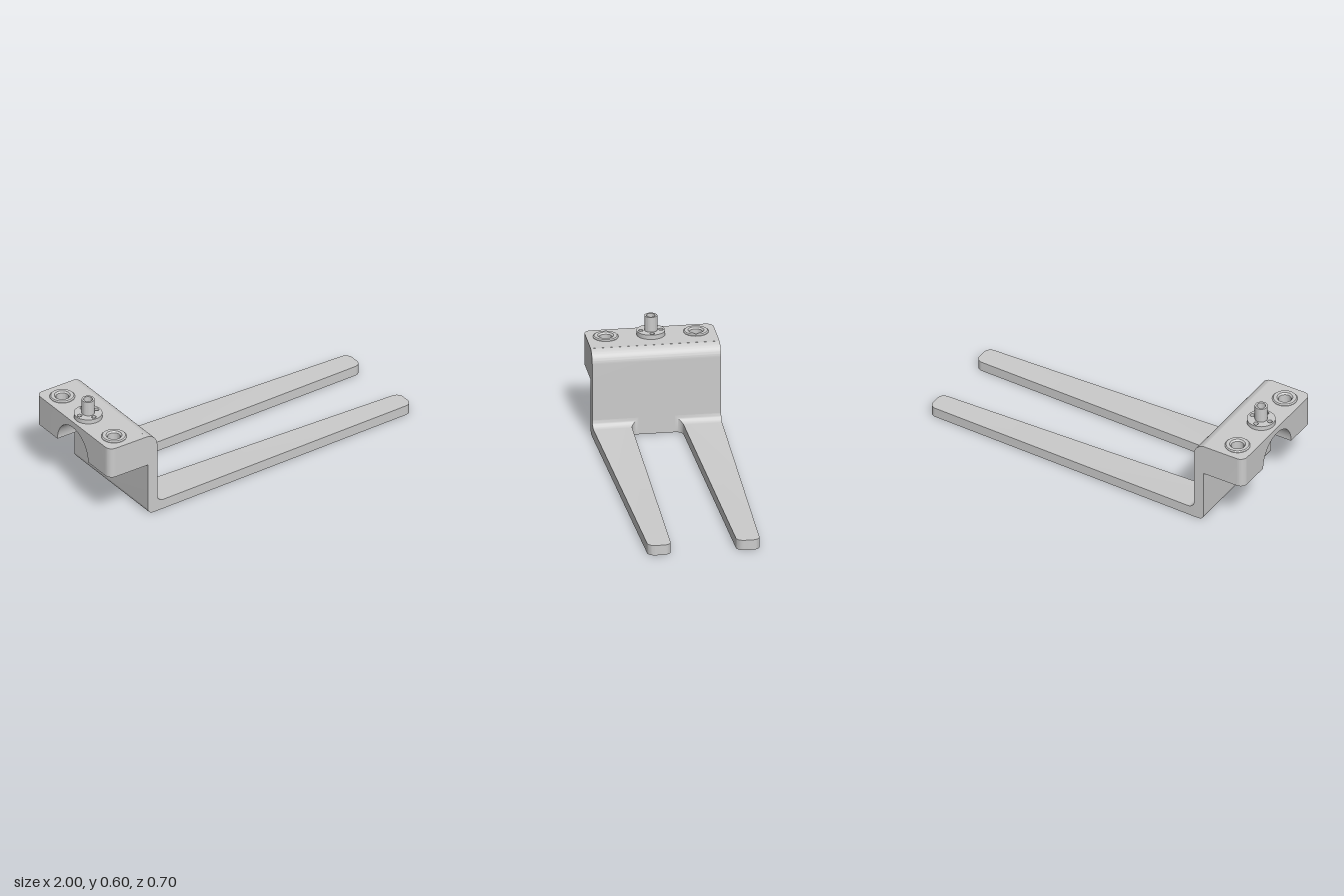
import * as THREE from 'three';
import { toCreasedNormals } from 'three/addons/utils/BufferGeometryUtils.js';

const material = new THREE.MeshStandardMaterial({ color: 0xcccccc });
const TOP = 0.49, BOTTOM = 0.31, ARCH = 0.145, STRIP = 0.085, POST_X = -0.9;
const archY = z => BOTTOM + Math.sqrt(Math.max(0, ARCH * ARCH - z * z));

function part(name, geometry) {
  const mesh = new THREE.Mesh(toCreasedNormals(geometry, 0.6), material);
  mesh.name = name;
  return mesh;
}

function polygon(points) {
  return new THREE.Shape(points.map(p => new THREE.Vector2(p[0], p[1])));
}

function extrude(shape, depth) {
  return new THREE.ExtrudeGeometry(shape, { depth, bevelEnabled: false, curveSegments: 16 });
}

// Extrudes a plan (x, z) downward from a given height
function slab(shape, top, height) {
  return extrude(shape, height).rotateX(Math.PI / 2).translate(0, top, 0);
}

function hole(shape, x, z, r) {
  shape.holes.push(new THREE.Path().absarc(x, z, r, 0, Math.PI * 2, true));
}

// Screw holes around the post
function screwHoles(shape) {
  for (let i = 0; i < 4; i++) {
    const a = i * Math.PI / 2;
    hole(shape, POST_X + 0.055 * Math.cos(a), 0.055 * Math.sin(a), 0.013);
  }
}

function lathe(points, x, z) {
  return new THREE.LatheGeometry(points.map(p => new THREE.Vector2(p[0], p[1])), 40).translate(x, 0, z);
}

// Tapered tine lofted along x, with filleted root and rounded tip
function tineGeometry() {
  const r = 0.04, start = -0.65, end = 0.96, steps = 8, xs = [];
  for (let i = 0; i <= steps; i++) xs.push(start - r * Math.cos(i / steps * Math.PI / 2));
  for (let i = 0; i <= steps; i++) xs.push(end + r * Math.sin(i / steps * Math.PI / 2));
  const rings = xs.map(x => {
    const d = Math.max(0, start - x, x - end);
    const e = r - Math.sqrt(Math.max(0, r * r - d * d));
    const t = (x + 0.69) / 1.69;
    const root = x < 0 ? e : 0, tip = x > 0 ? e : 0;
    const inner = 0.139 + 0.039 * t - root + tip;
    const outer = 0.35 - 0.046 * t - tip;
    const top = 0.057 + root;
    return [[x, 0, inner], [x, 0, outer], [x, top, outer], [x, top, inner]];
  });
  const pos = [];
  const tri = (a, b, c) => pos.push(...a, ...b, ...c);
  for (let i = 0; i < rings.length - 1; i++) {
    const a = rings[i], b = rings[i + 1];
    for (let j = 0; j < 4; j++) {
      const k = (j + 1) % 4;
      tri(a[j], b[j], a[k]);
      tri(b[j], b[k], a[k]);
    }
  }
  const last = rings[rings.length - 1];
  tri(last[0], last[2], last[1]);
  tri(last[0], last[3], last[2]);
  const g = new THREE.BufferGeometry();
  g.setAttribute('position', new THREE.Float32BufferAttribute(pos, 3));
  return g;
}

export function createModel() {
  const group = new THREE.Group();

  // Upright plate with rounded shoulder and heel
  const side = new THREE.Shape();
  side.moveTo(-0.72, 0);
  side.lineTo(-0.69, 0);
  side.lineTo(-0.69, TOP - 0.07);
  side.absarc(-0.76, TOP - 0.07, 0.07, 0, Math.PI / 2, false);
  side.lineTo(-0.76, 0.46);
  side.lineTo(-0.75, 0.46);
  side.lineTo(-0.75, 0.03);
  side.absarc(-0.72, 0.03, 0.03, Math.PI, Math.PI * 1.5, false);
  group.add(part('upright', extrude(side, 0.7).translate(0, 0, -0.35)));

  // Mounting block sides, each with a bushing hole
  const leg = new THREE.Shape();
  leg.moveTo(-0.75, ARCH);
  leg.lineTo(-0.75, 0.35);
  leg.lineTo(-0.96, 0.35);
  leg.absarc(-0.96, 0.31, 0.04, Math.PI / 2, Math.PI, false);
  leg.lineTo(-1, ARCH);
  hole(leg, POST_X, 0.245, 0.05);

  // Flanks of the arch under the block
  const flank = [[STRIP, TOP], [ARCH, TOP]];
  for (let i = 0; i <= 10; i++) {
    const a = i / 10 * Math.acos(STRIP / ARCH);
    flank.push([ARCH * Math.cos(a), BOTTOM + ARCH * Math.sin(a)]);
  }

  // Bushing: ring with chamfered rims, standing proud at both ends
  const bushing = [[0.035, 0.31], [0.043, 0.301], [0.063, 0.301], [0.068, 0.306],
    [0.068, 0.493], [0.062, 0.499], [0.043, 0.499], [0.035, 0.49], [0.035, 0.31]];

  for (const s of [1, -1]) {
    const half = new THREE.Group();
    half.name = s > 0 ? 'leftHalf' : 'rightHalf';
    half.add(
      part('blockSide', slab(leg, TOP, TOP - BOTTOM)),
      part('archFlank', extrude(polygon(flank), 0.25).rotateY(Math.PI / 2).scale(1, 1, 1).translate(-1, 0, 0)),
      part('bushing', lathe(bushing, POST_X, 0.245)),
      part('tine', tineGeometry()),
    );
    half.scale.z = s;
    group.add(half);
  }

  // Crown of the arch, pierced for the post and its screws
  const edge = [];
  for (let i = 0; i <= 8; i++) edge.push(-STRIP + STRIP * i / 4);
  const crownPlan = polygon([...edge.map(z => [-0.75, z]), ...edge.map(z => [-1, -z])]);
  hole(crownPlan, POST_X, 0, 0.03);
  screwHoles(crownPlan);
  const crown = slab(crownPlan, TOP, 0.06);
  const p = crown.attributes.position;
  for (let i = 0; i < p.count; i++) if (p.getY(i) < 0.46) p.setY(i, archY(p.getZ(i)));
  group.add(part('archCrown', crown));

  // Flange and hollow post
  const flange = new THREE.Shape().absarc(POST_X, 0, 0.077, 0, Math.PI * 2, false);
  hole(flange, POST_X, 0, 0.03);
  screwHoles(flange);
  group.add(part('flange', slab(flange, 0.515, 0.025)));
  group.add(part('post', lathe([[0.024, 0.455], [0.035, 0.455], [0.035, 0.6], [0.024, 0.6], [0.024, 0.455]], POST_X, 0)));

  return group;
}
